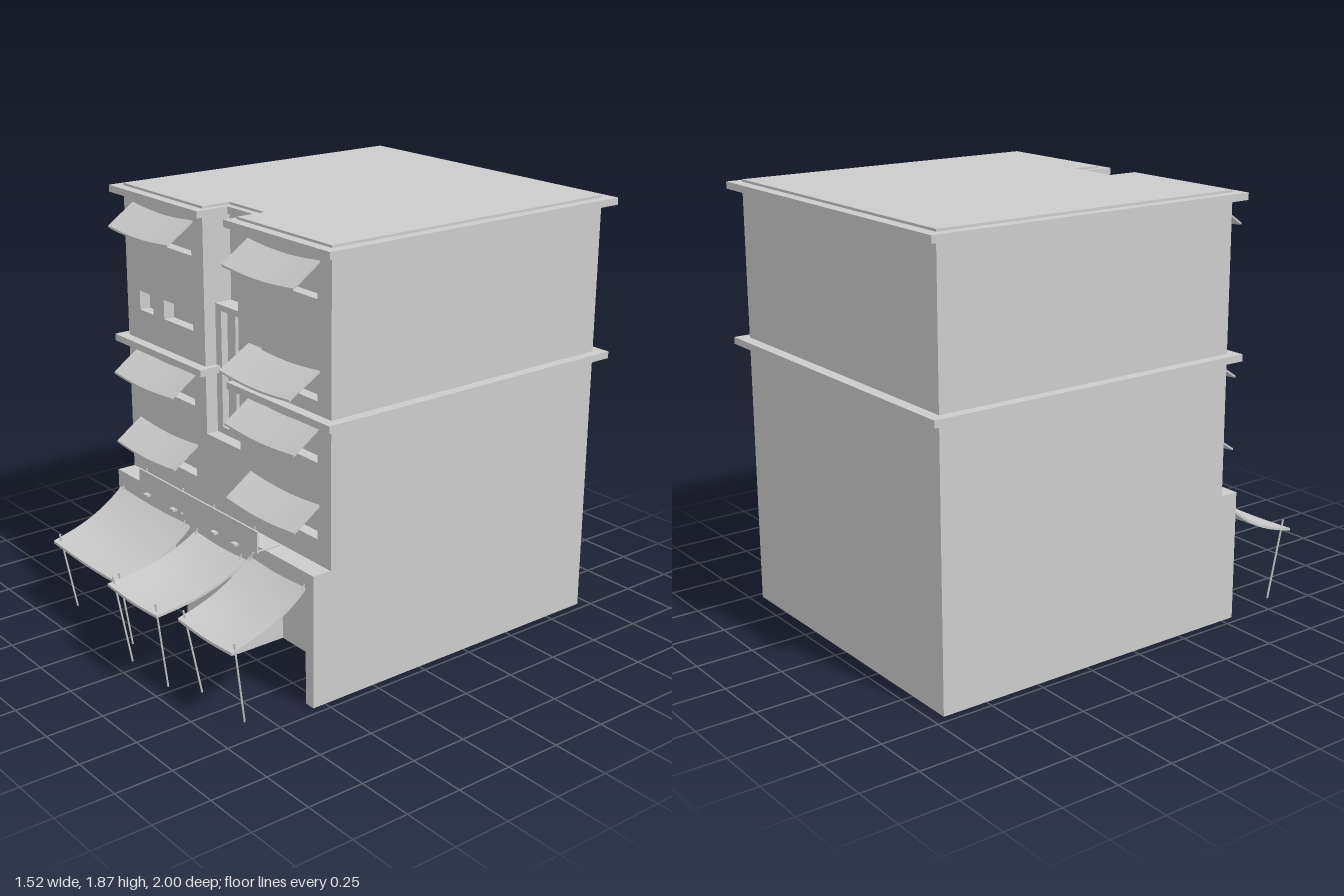
import * as THREE from 'three';

const mat = new THREE.MeshStandardMaterial({ color: 0xcccccc, side: THREE.DoubleSide });
const W = 0.715, BACK = -0.95, FRONT = 0.475, SHOP = 0.56, SHOP_TOP = 0.575, ROOF = 1.865;

function add(parent, name, geometry) {
  const mesh = new THREE.Mesh(geometry, mat);
  mesh.name = name;
  parent.add(mesh);
  return mesh;
}

const toShape = pts => new THREE.Shape(pts.map(p => new THREE.Vector2(...p)));
const rect = (x0, x1, y0, y1) => [[x0, y0], [x1, y0], [x1, y1], [x0, y1]];

// Flat upright wall facing the front, with rectangular openings
function wall(parent, name, outline, z, holes = []) {
  const shape = toShape(outline);
  shape.holes = holes.map(h => new THREE.Path(rect(...h).map(p => new THREE.Vector2(...p))));
  return add(parent, name, new THREE.ShapeGeometry(shape).translate(0, 0, z));
}

// Upright wall facing sideways; the outline is in z, y
function sideWall(parent, name, outline, x) {
  add(parent, name, new THREE.ShapeGeometry(toShape(outline)).rotateY(-Math.PI / 2).translate(x, 0, 0));
}

// Horizontal pane
function floor(parent, name, x0, x1, z0, z1, y) {
  add(parent, name, new THREE.PlaneGeometry(x1 - x0, z1 - z0).rotateX(-Math.PI / 2)
    .translate((x0 + x1) / 2, y, (z0 + z1) / 2));
}

// Recess behind an opening, open at the front
function pocket(parent, name, [x0, x1, y0, y1], zFront, depth, hasSill = true) {
  const g = new THREE.Group();
  g.name = name;
  const zb = zFront - depth;
  wall(g, 'recessBack', rect(x0, x1, y0, y1), zb);
  for (const x of [x0, x1]) sideWall(g, 'recessSide', rect(zb, zFront, y0, y1), x);
  floor(g, 'recessTop', x0, x1, zb, zFront, y1);
  if (hasSill) floor(g, 'recessSill', x0, x1, zb, zFront, y0);
  parent.add(g);
}

// Horizontal slab from an outline in x, z
function slab(parent, name, outline, y0, y1) {
  const geo = new THREE.ExtrudeGeometry(toShape(outline), { depth: y1 - y0, bevelEnabled: false });
  add(parent, name, geo.rotateX(Math.PI / 2).translate(0, y1, 0));
}

// Cloth sheet hanging from the wall, sagging along and across
function cloth(parent, name, x0, x1, [z0, y0], [z1, y1], sagLong, sagCross, thick) {
  const geo = new THREE.BoxGeometry(1, thick, 1, 10, 1, 10);
  const p = geo.attributes.position;
  for (let i = 0; i < p.count; i++) {
    const u = p.getX(i) + 0.5, t = p.getZ(i) + 0.5;
    const y = y0 + (y1 - y0) * t - sagLong * Math.sin(Math.PI * Math.pow(t, 0.85))
      - sagCross * Math.sin(Math.PI * u);
    p.setXYZ(i, x0 + (x1 - x0) * u, y + p.getY(i), z0 + (z1 - z0) * t);
  }
  geo.computeVertexNormals();
  add(parent, name, geo);
}

// Thin rod between two points
function rod(parent, name, a, b, r) {
  const A = new THREE.Vector3(...a), B = new THREE.Vector3(...b), d = B.clone().sub(A);
  const mesh = add(parent, name, new THREE.CylinderGeometry(r, r, d.length(), 6));
  mesh.position.copy(A).add(B).multiplyScalar(0.5);
  mesh.quaternion.setFromUnitVectors(new THREE.Vector3(0, 1, 0), d.normalize());
}

function box(parent, name, x, y, z, w, h, d) {
  add(parent, name, new THREE.BoxGeometry(w, h, d).translate(x, y, z));
}

export function createModel() {
  const model = new THREE.Group();
  model.name = 'building';

  // Window awnings: side, window bottom, reach
  const awnings = [
    [-1, 1.65, 0.6], [-1, 1.0, 0.6], [-1, 0.68, 0.6],
    [1, 1.65, 0.6], [1, 1.25, 0.62], [1, 1.0, 0.6], [1, 0.68, 0.6],
  ];
  const windows = awnings.map(([s, y]) => [s < 0 ? -0.63 : 0.205, s < 0 ? -0.205 : 0.63, y, y + 0.125]);
  windows.push([-0.615, -0.51, 1.33, 1.415], [-0.425, -0.205, 1.33, 1.415]);

  // Main walls, hollow and open below
  const shell = new THREE.Group();
  shell.name = 'walls';
  model.add(shell);
  wall(shell, 'upperFrontWall', [[-W, SHOP_TOP], [W, SHOP_TOP], [W, ROOF], [0.12, ROOF], [0.12, 0.9],
    [-0.12, 0.9], [-0.12, ROOF], [-W, ROOF]], FRONT, windows);
  windows.forEach(w => pocket(shell, 'window', w, FRONT, 0.05));
  wall(shell, 'backWall', rect(-W, W, 0, ROOF), BACK);
  for (const x of [-W, W]) {
    sideWall(shell, 'sideWall', [[BACK, 0], [SHOP, 0], [SHOP, SHOP_TOP], [FRONT, SHOP_TOP],
      [FRONT, ROOF], [BACK, ROOF]], x);
  }

  // Ground floor front with two shop bays
  const bays = [[-0.67, -0.18, 0, 0.43], [0.16, 0.665, 0, 0.43]];
  const bayEdge = bays.flatMap(([a, b, , t]) => [[a, 0], [a, t], [b, t], [b, 0]]);
  wall(shell, 'shopFrontWall', [[-W, 0], ...bayEdge, [W, 0], [W, SHOP_TOP], [-W, SHOP_TOP]], SHOP);
  bays.forEach(b => pocket(shell, 'shopBay', b, SHOP, 0.265, false));
  floor(shell, 'shopLedge', -W, W, FRONT, SHOP, SHOP_TOP);

  // Stairwell recess with a stepped panel and two slit windows
  const stair = new THREE.Group();
  stair.name = 'stairwell';
  model.add(stair);
  const slits = [[-0.08, -0.035, 0.93, 1.435], [0.02, 0.065, 0.93, 1.435]];
  wall(stair, 'stairPanel', rect(-0.12, 0.12, 0.9, 1.46), 0.42, slits);
  slits.forEach(s => pocket(stair, 'slitWindow', s, 0.42, 0.04));
  wall(stair, 'stairUpperWall', rect(-0.12, 0.12, 1.46, ROOF), 0.34);
  floor(stair, 'stairStep', -0.12, 0.12, 0.34, 0.42, 1.46);
  floor(stair, 'stairSill', -0.12, 0.12, 0.42, FRONT, 0.9);
  for (const x of [-0.12, 0.12]) {
    sideWall(stair, 'stairSide', [[0.42, 0.9], [FRONT, 0.9], [FRONT, ROOF], [0.34, ROOF],
      [0.34, 1.46], [0.42, 1.46]], x);
  }

  // Roof and cornices
  const notched = (w, zb, zf, nw, nz) => [[-w, zb], [w, zb], [w, zf], [nw, zf], [nw, nz],
    [-nw, nz], [-nw, zf], [-w, zf]];
  slab(model, 'roofCornice', notched(0.76, -1, 0.52, 0.093, 0.37), 1.83, 1.86);
  slab(model, 'roofTop', notched(W, BACK, FRONT, 0.12, 0.34), 1.855, 1.87);
  const half = [[0.093, 0.42], [0.093, 0.52], [0.76, 0.52], [0.76, -1]];
  const inner = [[-W, BACK], [-W, FRONT], [-0.12, FRONT], [-0.12, 0.42]];
  const mirror = pts => pts.map(([x, z]) => [-x, z]).reverse();
  slab(model, 'middleCornice', [...half, ...mirror(half), ...inner.slice().reverse(),
    ...inner.map(([x, z]) => [-x, z])], 1.165, 1.195);

  // Window awnings
  for (const [s, y, reach] of awnings) {
    const x0 = s < 0 ? -0.645 : 0.19, top = y === 1.25 ? 1.37 : y + 0.145;
    cloth(model, 'windowAwning', x0, x0 + 0.455, [FRONT, top], [reach, top - 0.085], 0, 0.014, 0.009);
  }

  // Shop canopies on leaning poles
  const canopies = [
    { x: [-0.7, -0.14], y: [0.49, 0.32], z: 0.915, poles: [[-0.672, -0.658], [-0.178, -0.192]] },
    { x: [-0.1, 0.27], y: [0.48, 0.362], z: 0.998, poles: [[-0.085, -0.06], [0.237, 0.212]] },
    { x: [0.295, 0.665], y: [0.505, 0.335], z: 0.915, poles: [[0.31, 0.335], [0.658, 0.63]] },
  ];
  for (const { x, y, z, poles } of canopies) {
    cloth(model, 'shopCanopy', x[0], x[1], [SHOP, y[0]], [z, y[1]], 0.03, 0.009, 0.012);
    for (const [top, foot] of poles) {
      rod(model, 'canopyPole', [foot, 0, z - 0.08], [top, y[1] + 0.04, z - 0.017], 0.0045);
      rod(model, 'canopyHook', [top, y[0] - 0.01, SHOP + 0.012], [top, y[0] + 0.02, SHOP], 0.004);
    }
  }

  // Plain sign board with brackets and small lamps
  box(model, 'signBoard', -0.003, 0.633, 0.617, 0.866, 0.095, 0.008);
  for (const x of [-0.39, -0.11, 0.12, 0.4]) {
    rod(model, 'signBracket', [x, 0.578, 0.49], [x, 0.578, 0.625], 0.004);
    rod(model, 'signPost', [x, 0.575, 0.61], [x, 0.69, 0.61], 0.004);
  }
  for (const x of [-0.365, -0.16, 0.145, 0.29]) box(model, 'signLamp', x, 0.582, 0.63, 0.03, 0.01, 0.022);

  return model;
}
